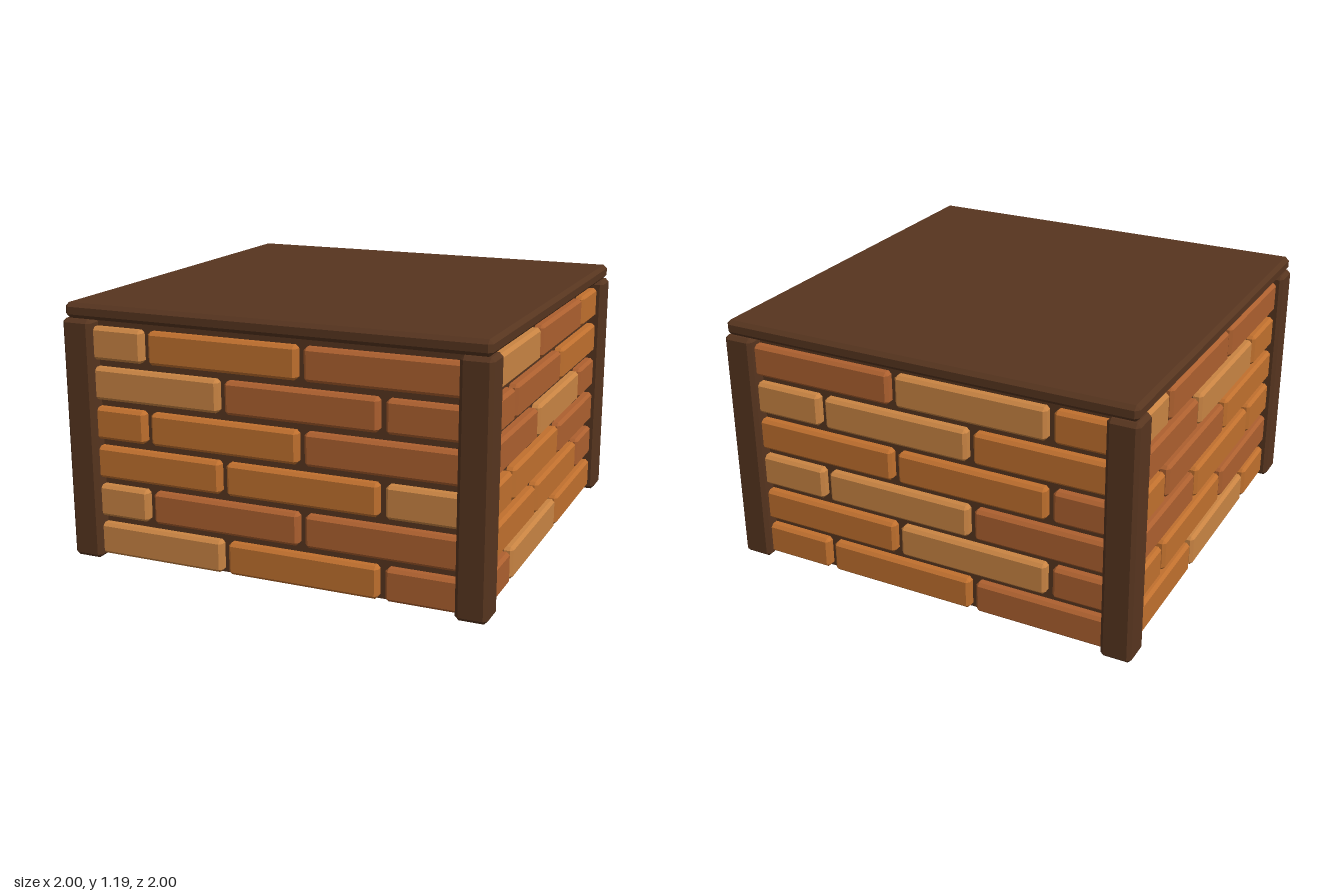
import * as THREE from 'three';
import { ConvexGeometry } from 'three/addons/geometries/ConvexGeometry.js';

const material = (color) => new THREE.MeshStandardMaterial({ color, flatShading: true });

// Box with chamfered edges: each corner is cut to three points
function bevelBox(w, h, d, b) {
  const points = [];
  for (const x of [-1, 1]) for (const y of [-1, 1]) for (const z of [-1, 1]) {
    const p = (ix, iy, iz) => points.push(new THREE.Vector3(
      x * (w / 2 - ix * b), y * (h / 2 - iy * b), z * (d / 2 - iz * b)));
    p(0, 1, 1);
    p(1, 0, 1);
    p(1, 1, 0);
  }
  return new ConvexGeometry(points);
}

// Brick shades per row, bottom to top: l = light, m = middle, d = dark.
// Joints run left to right as seen from outside, for even and odd rows.
const FACES = [
  { name: 'frontBricks', turn: 0, joints: [[-0.227, 0.52], [-0.6, 0.15]],
    shades: ['lmd', 'ldd', 'mml', 'mmd', 'ldd', 'lmd'] },
  { name: 'leftBricks', turn: Math.PI / 2, joints: [[-0.548, 0.197], [-0.174, 0.57]],
    shades: ['dlm', 'mmd', 'mmd', 'dld', 'ddm', 'ldm'] },
  { name: 'backBricks', turn: Math.PI, joints: [[-0.52, 0.227], [-0.15, 0.6]],
    shades: ['mmd', 'mld', 'lld', 'mmd', 'llm', 'dlm'] },
  { name: 'rightBricks', turn: -Math.PI / 2, joints: [[-0.197, 0.548], [-0.57, 0.174]],
    shades: ['mlm', 'mmd', 'dmm', 'mdm', 'dlm', 'ldd'] },
];

export function createModel() {
  const model = new THREE.Group();
  model.name = 'brickBlock';
  const wood = material(0x57351f);
  const clay = { l: material(0xc98443), m: material(0xc0702e), d: material(0xad602f) };

  const add = (parent, name, geometry, mat, x, y, z) => {
    const mesh = new THREE.Mesh(geometry, mat);
    mesh.name = name;
    mesh.position.set(x, y, z);
    parent.add(mesh);
  };

  // Inner body, showing as the joints between bricks
  add(model, 'core', new THREE.BoxGeometry(1.85, 1.12, 1.85), wood, 0, 0.57, 0);

  // Top slab
  add(model, 'topSlab', bevelBox(1.98, 0.07, 1.98, 0.018), wood, 0, 1.155, 0);

  // Corner posts
  const post = bevelBox(0.143, 1.12, 0.143, 0.017);
  for (const x of [-1, 1]) for (const z of [-1, 1]) {
    add(model, 'cornerPost', post, wood, x * 0.9285, 0.56, z * 0.9285);
  }

  // Six staggered courses of bricks on each side
  const height = 0.149, pitch = 0.184, gap = 0.033, depth = 0.09, end = 0.9;
  for (const { name, turn, joints, shades } of FACES) {
    const face = new THREE.Group();
    face.name = name;
    face.rotation.y = turn;
    shades.forEach((row, r) => {
      const [a, b] = joints[r % 2];
      const spans = [[-end, a - gap / 2], [a + gap / 2, b - gap / 2], [b + gap / 2, end]];
      spans.forEach(([x0, x1], i) => add(face, 'brick', bevelBox(x1 - x0, height, depth, 0.014),
        clay[row[i]], (x0 + x1) / 2, 0.016 + height / 2 + r * pitch, 0.967 - depth / 2));
    });
    model.add(face);
  }
  return model;
}
